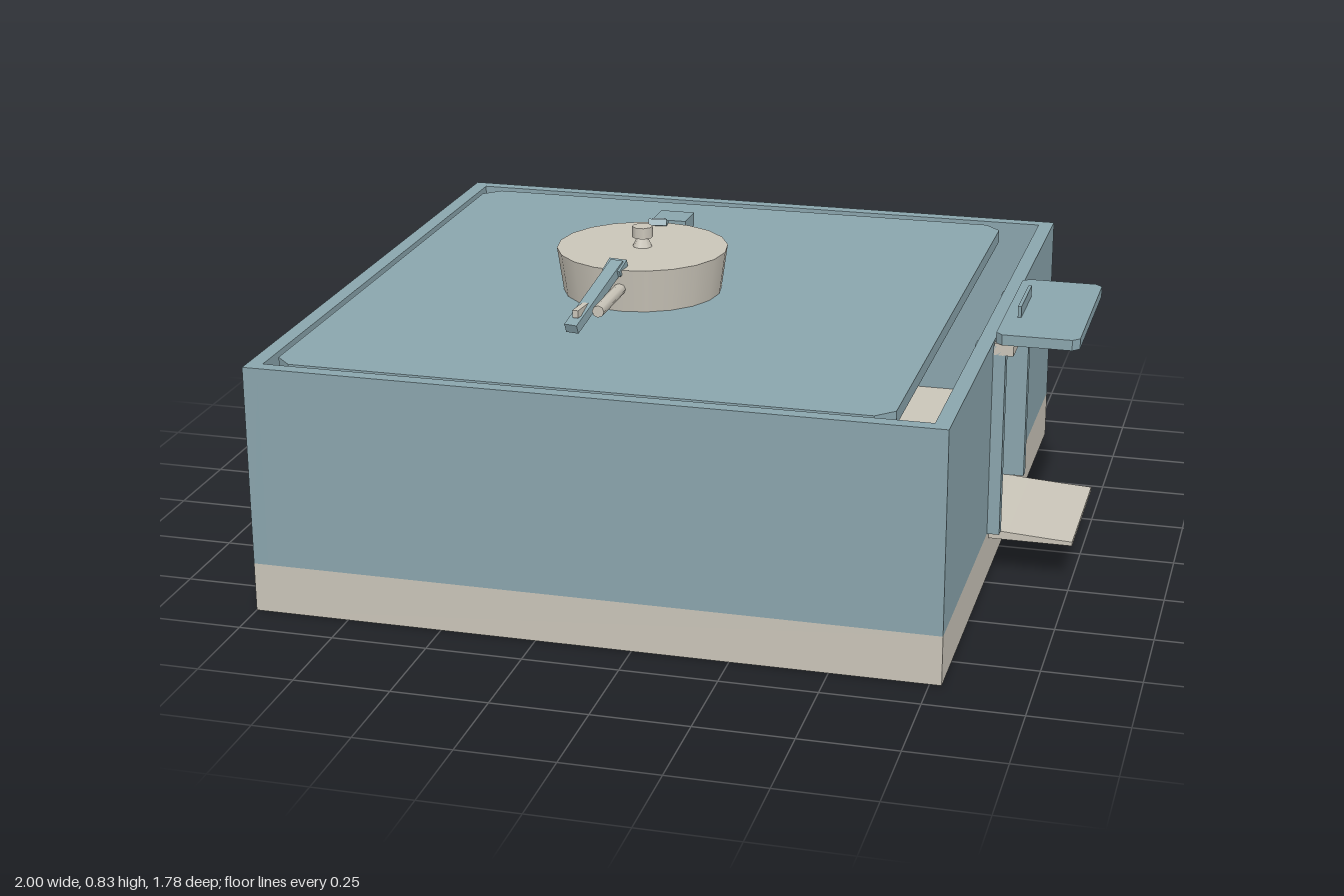
import * as THREE from 'three';

export function createModel() {
  const model = new THREE.Group();
  const blue = new THREE.MeshStandardMaterial({ color: 0x8aa5ad });
  blue.name = 'greyBlue';
  const cream = new THREE.MeshStandardMaterial({ color: 0xcac5b9 });
  cream.name = 'warmGrey';

  const add = (name, geometry, material, parent = model) => {
    const mesh = new THREE.Mesh(geometry, material);
    mesh.name = name;
    parent.add(mesh);
    return mesh;
  };
  // Box given by its limits on each axis
  const box = (name, material, [x0, x1], [y0, y1], [z0, z1], parent = model) => {
    const mesh = add(name, new THREE.BoxGeometry(x1 - x0, y1 - y0, z1 - z0), material, parent);
    mesh.position.set((x0 + x1) / 2, (y0 + y1) / 2, (z0 + z1) / 2);
    return mesh;
  };
  // Horizontal slab with chamfered corners (c on the -x side, d on the +x side)
  const slab = (name, material, x0, x1, hz, y0, y1, c, d) => {
    const outline = [
      [x0 + c, -hz], [x1 - d, -hz], [x1, -hz + d], [x1, hz - d],
      [x1 - d, hz], [x0 + c, hz], [x0, hz - c], [x0, -hz + c],
    ];
    const shape = new THREE.Shape(outline.map(([x, z]) => new THREE.Vector2(x, z)));
    const geometry = new THREE.ExtrudeGeometry(shape, { depth: y1 - y0, bevelEnabled: false });
    geometry.rotateX(-Math.PI / 2);
    geometry.translate(0, y0, 0);
    return add(name, geometry, material);
  };
  // Square beam running between two points
  const beam = (name, material, from, to, width, height, parent) => {
    const a = new THREE.Vector3(...from), b = new THREE.Vector3(...to);
    const mesh = add(name, new THREE.BoxGeometry(width, height, a.distanceTo(b)), material, parent);
    mesh.position.copy(a).add(b).multiplyScalar(0.5);
    mesh.lookAt(b);
    return mesh;
  };

  // Base and hollow walls
  box('base', cream, [-1, 0.78], [0, 0.13], [-0.89, 0.89]);
  box('closedEndWall', blue, [-1, -0.96], [0.13, 0.66], [-0.89, 0.89]);
  for (const s of [-1, 1]) {
    const span = (a, b) => [Math.min(s * a, s * b), Math.max(s * a, s * b)];
    box('sideWall', blue, [-0.96, 0.74], [0.13, 0.66], span(0.853, 0.89));
    box('doorWall', blue, [0.74, 0.78], [0.13, 0.66], span(0.2, 0.89));
    box('doorJamb', blue, [0.733, 0.812], [0.13, 0.65], span(0.2, 0.232));
  }
  box('doorLintel', blue, [0.74, 0.78], [0.625, 0.66], [-0.2, 0.2]);

  // Thin lid resting just inside the rim
  slab('lid', blue, -0.947, 0.635, 0.83, 0.62, 0.656, 0.045, 0.045);

  // Round cap with its knob
  const capX = -0.217;
  const cap = add('roundCap', new THREE.CylinderGeometry(0.231, 0.214, 0.119, 20), cream);
  cap.position.set(capX, 0.7145, 0);
  const neck = add('knobNeck', new THREE.CylinderGeometry(0.014, 0.028, 0.03, 8), cream);
  neck.position.set(capX, 0.787, 0);
  const knob = add('knob', new THREE.CylinderGeometry(0.028, 0.028, 0.03, 8), cream);
  knob.rotation.y = Math.PI / 8;
  knob.position.set(capX, 0.815, 0);

  // Clamp on each side of the cap: a sloping lever over a level rod
  for (const s of [-1, 1]) {
    const clamp = new THREE.Group();
    clamp.name = 'clamp';
    model.add(clamp);
    beam('lever', blue, [-0.228, 0.782, s * 0.2], [-0.28, 0.678, s * 0.45], 0.036, 0.026, clamp);
    beam('leverTip', blue, [-0.228, 0.786, s * 0.19], [-0.235, 0.766, s * 0.235], 0.05, 0.018, clamp);
    const rod = add('rod', new THREE.CylinderGeometry(0.016, 0.016, 0.23, 8), cream, clamp);
    rod.rotation.x = Math.PI / 2;
    rod.position.set(-0.217, 0.72, s * 0.305);
    beam('sideRod', cream, [-0.25, 0.715, s * 0.22], [-0.272, 0.715, s * 0.44], 0.016, 0.02, clamp);
  }
  box('clampBlock', blue, [-0.268, -0.172], [0.73, 0.767], [-0.372, -0.278]);

  // Hatch: roof plate, lip, handle and header
  slab('hatchRoof', blue, 0.785, 1, 0.243, 0.657, 0.685, 0.018, 0.018);
  box('hatchLip', blue, [0.882, 0.9], [0.646, 0.657], [-0.19, 0.19]);
  box('hatchHandle', blue, [0.82, 0.829], [0.685, 0.715], [-0.093, 0.093]);
  box('hatchHeader', cream, [0.782, 0.832], [0.625, 0.657], [-0.232, 0.232]);

  // Doorstep, thinner toward its outer edge
  const step = new THREE.Shape([[0.78, 0.105], [1, 0.105], [1, 0.116], [0.94, 0.119], [0.83, 0.126], [0.78, 0.13]]
    .map(([x, y]) => new THREE.Vector2(x, y)));
  const stepGeometry = new THREE.ExtrudeGeometry(step, { depth: 0.4, bevelEnabled: false });
  stepGeometry.translate(0, 0, -0.2);
  add('doorstep', stepGeometry, cream);

  return model;
}
